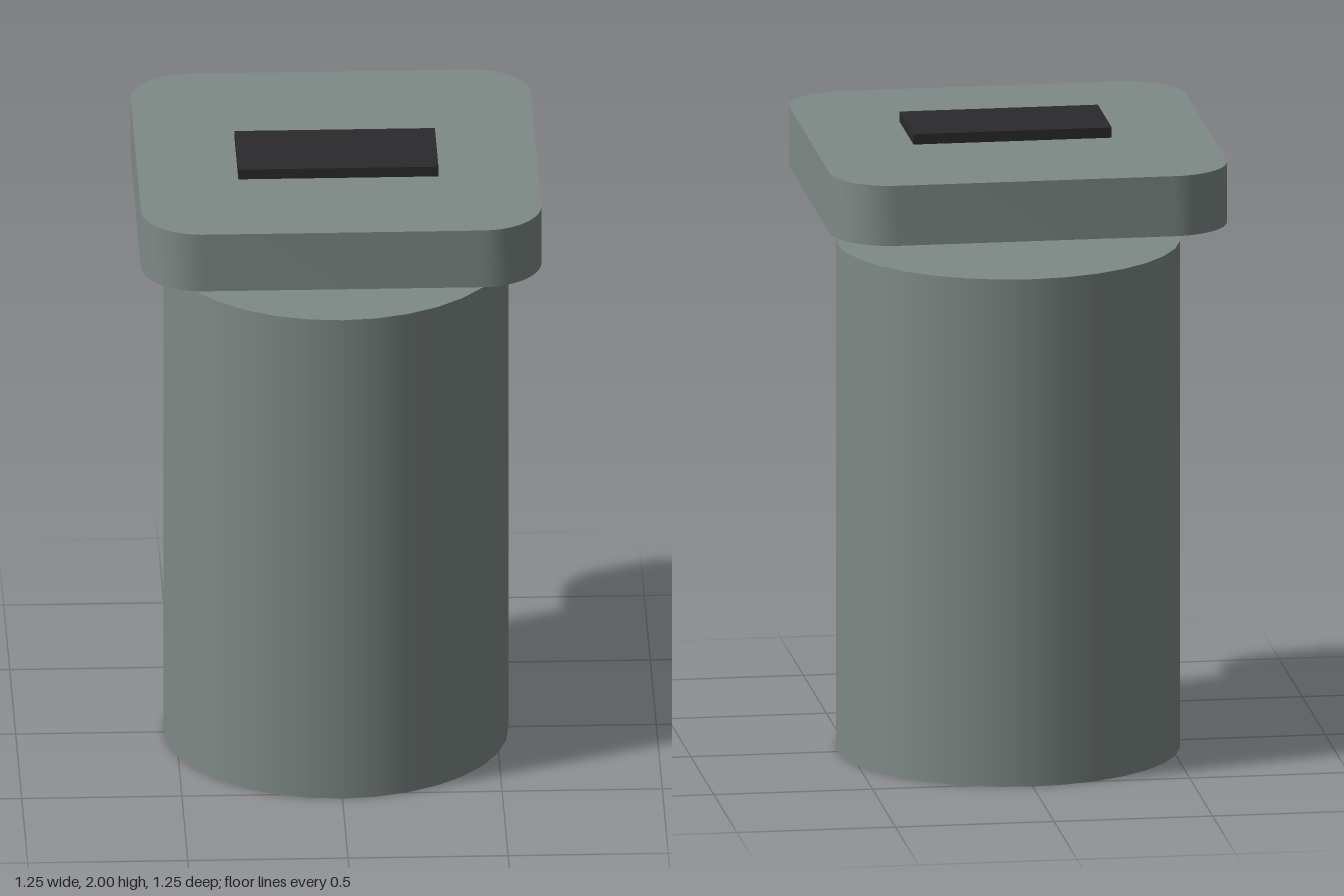
import * as THREE from 'three';
import { toCreasedNormals } from 'three/addons/utils/BufferGeometryUtils.js';

// Square outline with rounded corners
function roundedSquare(half, radius) {
  const shape = new THREE.Shape();
  const c = half - radius;
  [[c, c], [-c, c], [-c, -c], [c, -c]].forEach(([x, y], i) => {
    shape.absarc(x, y, radius, i * Math.PI / 2, (i + 1) * Math.PI / 2, false);
  });
  shape.closePath();
  return shape;
}

export function createModel() {
  const model = new THREE.Group();
  const bodyMaterial = new THREE.MeshStandardMaterial({ color: 0x7f8a86 });
  const panelMaterial = new THREE.MeshStandardMaterial({ color: 0x2a2a2c });

  const add = (name, geometry, material, x, y, z) => {
    const mesh = new THREE.Mesh(geometry, material);
    mesh.name = name;
    mesh.position.set(x, y, z);
    model.add(mesh);
  };

  // Cylindrical body
  add('body', new THREE.CylinderGeometry(0.538, 0.538, 1.63, 32), bodyMaterial, 0, 0.815, 0);

  // Rounded square lid floating above the body
  const lid = new THREE.ExtrudeGeometry(roundedSquare(0.625, 0.19), {
    depth: 0.193, bevelEnabled: false, curveSegments: 8,
  });
  lid.rotateX(-Math.PI / 2);
  add('lid', toCreasedNormals(lid, Math.PI / 5), bodyMaterial, 0, 1.774, 0);

  // Dark panel on the lid, set towards the front
  add('topPanel', new THREE.BoxGeometry(0.625, 0.035, 0.3), panelMaterial, 0, 1.9825, 0.05);

  return model;
}
